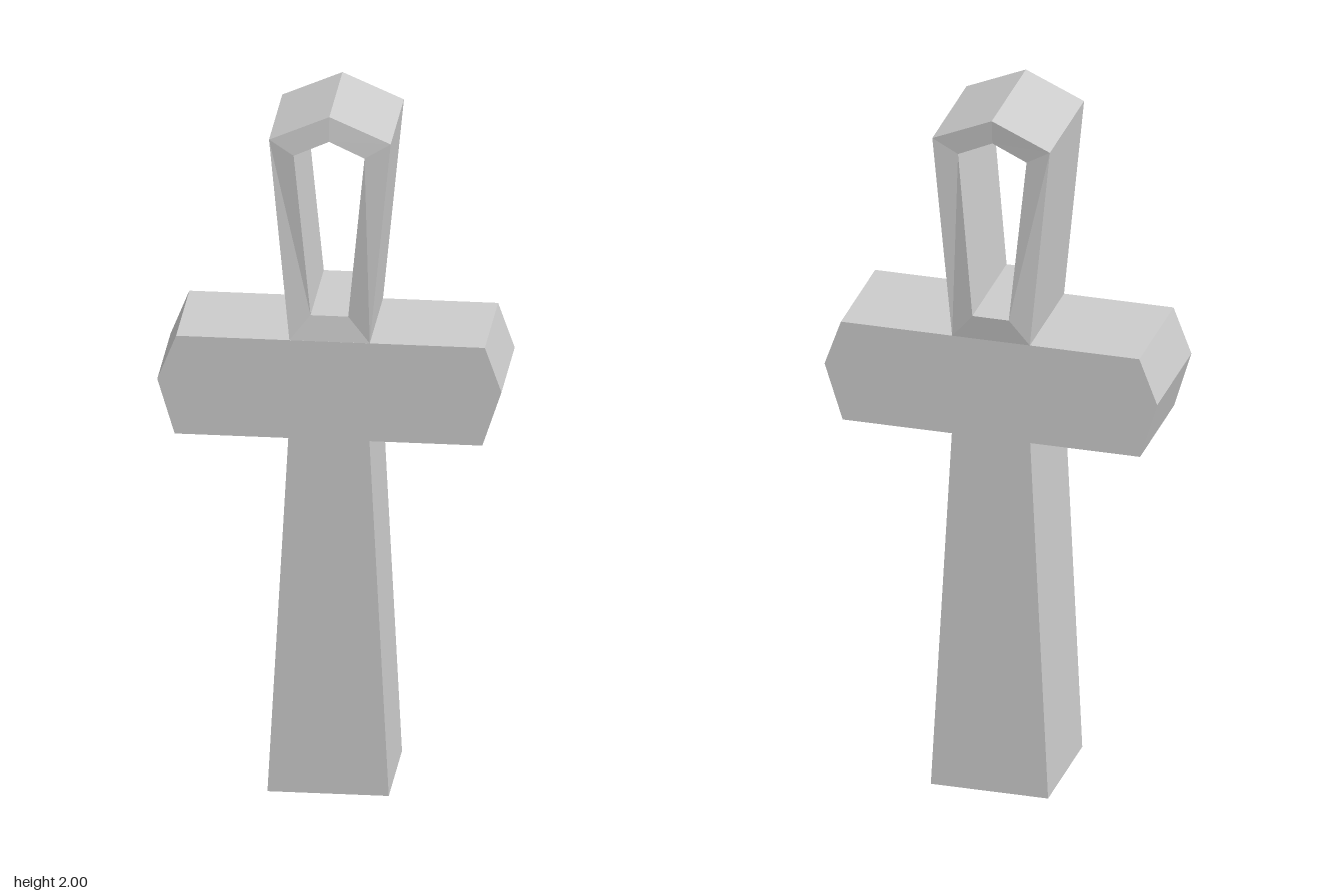
import * as THREE from 'three';

const DEPTH = 0.336;

export function createModel() {
  const group = new THREE.Group();
  const material = new THREE.MeshStandardMaterial({ color: 0xcccccc, flatShading: true });
  const points = (list) => list.map(([x, y]) => new THREE.Vector2(x, y));

  // Extrudes an outline in z, then leans it by a rule giving the mid-depth at (x, y)
  function addSlab(name, outline, hole, lean) {
    const shape = new THREE.Shape(points(outline));
    if (hole) shape.holes.push(new THREE.Path(points(hole)));
    const geometry = new THREE.ExtrudeGeometry(shape, { depth: DEPTH, bevelEnabled: false });
    const p = geometry.attributes.position;
    for (let i = 0; i < p.count; i++) {
      p.setZ(i, p.getZ(i) - DEPTH / 2 + lean(p.getX(i), p.getY(i)));
    }
    geometry.computeVertexNormals();
    const mesh = new THREE.Mesh(geometry, material);
    mesh.name = name;
    group.add(mesh);
  }

  // Flared stem and pointed cross arms, leaning forward towards the top
  addSlab('stemAndArms', [
    [-0.175, 0], [0.157, 0], [0.108, 1.05], [0.417, 1.05], [0.47, 1.21], [0.425, 1.34],
    [-0.42, 1.34], [-0.472, 1.21], [-0.425, 1.05], [-0.114, 1.05],
  ], null, (x, y) => -0.03 + 0.0345 * y);

  // Open loop; the rim of its hole tilts a little more than the outside
  addSlab('loop', [
    [-0.11, 1.34], [0.11, 1.34], [0.168, 1.927], [0, 2], [-0.165, 1.927],
  ], [
    [-0.053, 1.412], [-0.097, 1.885], [0, 1.93], [0.097, 1.885], [0.05, 1.412],
  ], (x, y) => {
    const onHole = Math.abs(x) < 0.1 && y > 1.38 && y < 1.95;
    const mid = 0.016 + 0.011 * (y - 1.34);
    return mid + (onHole ? (y > 1.6 ? 0.007 : -0.01) : 0);
  });

  return group;
}
